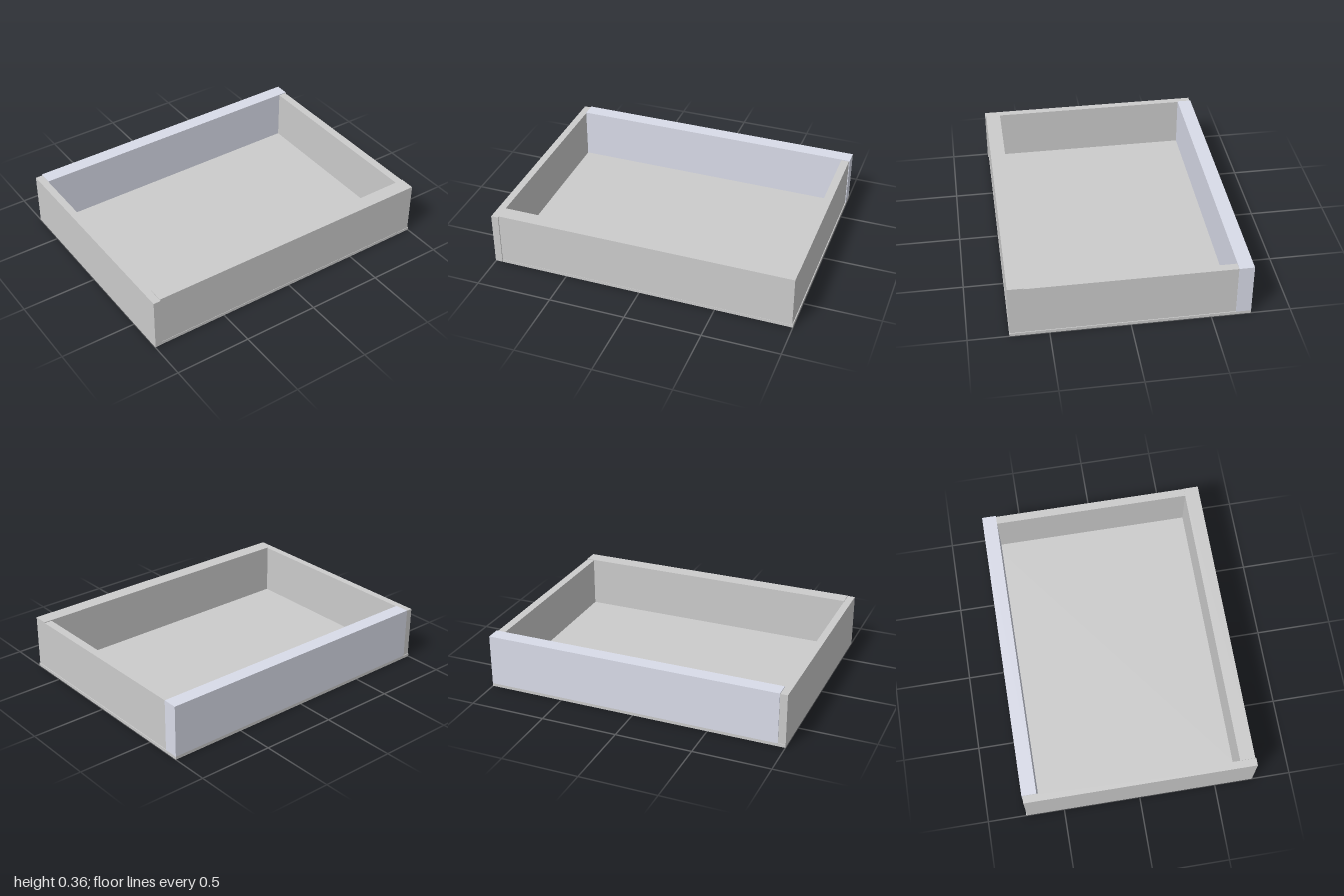
import * as THREE from 'three';

export function createModel() {
  const model = new THREE.Group();
  const grey = new THREE.MeshStandardMaterial({ color: 0xcccccc });
  const paleBlue = new THREE.MeshStandardMaterial({ color: 0xd9dce9 });

  // A board spanning [min, max] on each axis
  function board(name, [x0, x1], [y0, y1], [z0, z1], material = grey) {
    const mesh = new THREE.Mesh(new THREE.BoxGeometry(x1 - x0, y1 - y0, z1 - z0), material);
    mesh.position.set((x0 + x1) / 2, (y0 + y1) / 2, (z0 + z1) / 2);
    mesh.name = name;
    model.add(mesh);
  }

  // Base panel
  board('floor', [-1, 1], [0, 0.02], [-0.75, 0.745]);

  // Side walls: the one at -x runs past the front and back boards
  board('rightWall', [-1, -0.952], [0.005, 0.355], [-0.745, 0.75]);
  board('leftWall', [0.942, 0.995], [0.005, 0.355], [-0.655, 0.645]);

  // Front and back walls, butted against the -x wall
  board('frontWall', [-0.952, 0.995], [0.005, 0.36], [0.645, 0.743]);
  board('backWall', [-0.952, 1], [0.02, 0.36], [-0.75, -0.655], paleBlue);

  return model;
}
